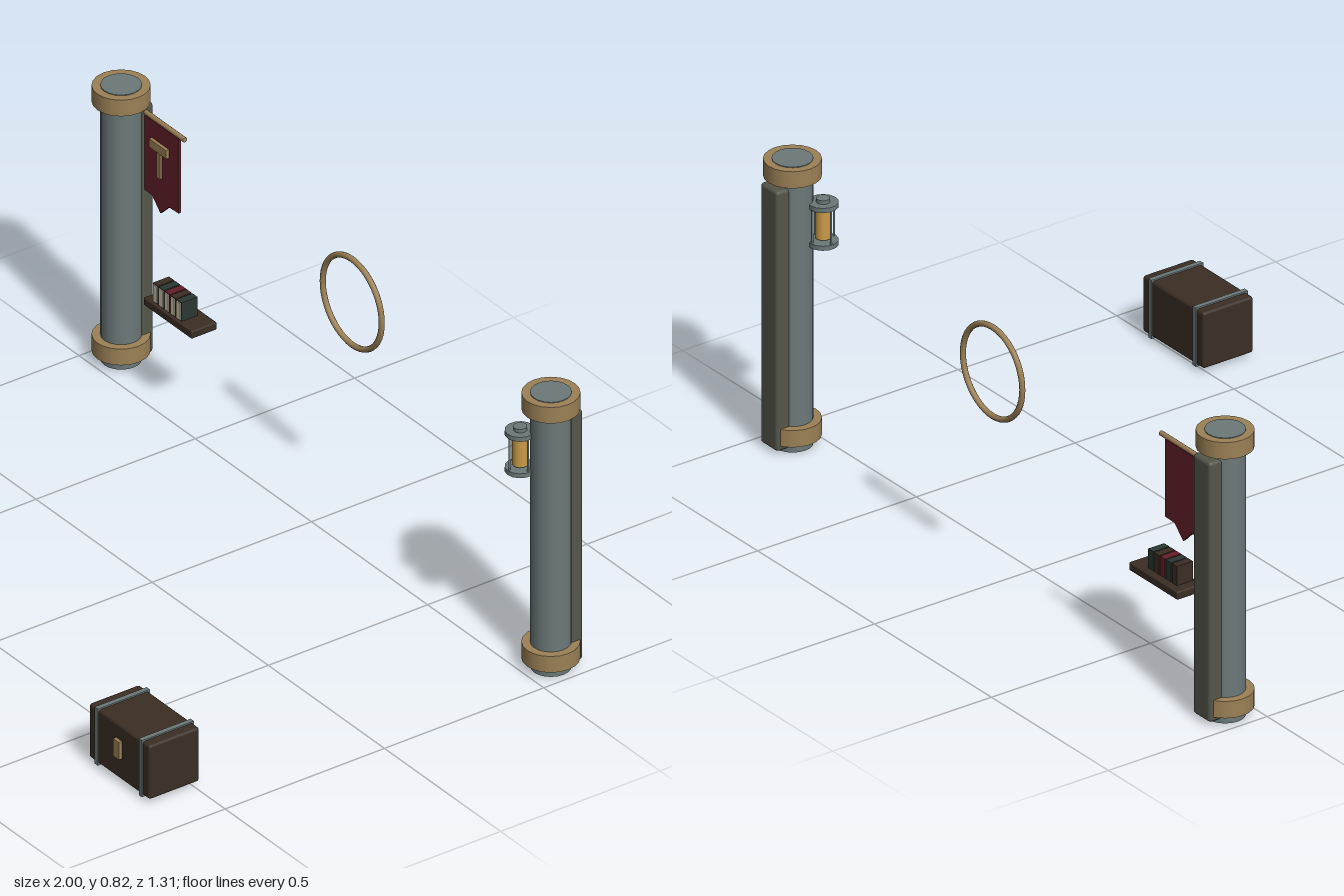
import * as THREE from 'three';
import { RoundedBoxGeometry } from 'three/addons/geometries/RoundedBoxGeometry.js';

const mat = (name, color, side = THREE.FrontSide) => {
  const m = new THREE.MeshStandardMaterial({ color, side });
  m.name = name;
  return m;
};

export function createModel() {
  const stone = mat('blue grey stone', 0x6c797a);
  const darkStone = mat('dark stone', 0x55564a);
  const brass = mat('brass', 0x9c8156);
  const wood = mat('dark wood', 0x3b2e24);
  const cloth = mat('red cloth', 0x642029);
  const paper = mat('paper', 0xd2c8ae);
  const glow = mat('amber glass', 0xcb9c48);
  const green = mat('dark green leather', 0x2b3833);

  const model = new THREE.Group();
  model.name = 'hallFurnishings';

  const group = (name, x = 0, y = 0, z = 0) => {
    const g = new THREE.Group();
    g.name = name;
    g.position.set(x, y, z);
    model.add(g);
    return g;
  };
  const add = (parent, name, geometry, material, x = 0, y = 0, z = 0) => {
    const m = new THREE.Mesh(geometry, material);
    m.name = name;
    m.position.set(x, y, z);
    parent.add(m);
    return m;
  };
  const box = (w, h, d) => new THREE.BoxGeometry(w, h, d);
  const cyl = (r, h, n = 20) => new THREE.CylinderGeometry(r, r, h, n);

  // Two columns, each with brass collars and a pilaster at the back
  for (const side of [-1, 1]) {
    const column = group(side < 0 ? 'rightColumn' : 'leftColumn', side * 0.925, 0, -0.577);
    add(column, 'shaft', cyl(0.053, 0.816), stone, 0, 0.408, 0);
    add(column, 'topCollar', cyl(0.075, 0.048), brass, 0, 0.79, 0);
    add(column, 'bottomCollar', cyl(0.075, 0.048), brass, 0, 0.05, 0);
    add(column, 'pilaster', new RoundedBoxGeometry(0.074, 0.743, 0.044, 2, 0.01), darkStone, 0, 0.382, -0.054);
  }

  // Pointed banner on a pole
  const banner = group('banner', -0.82, 0, -0.628);
  const pole = add(banner, 'bannerPole', cyl(0.007, 0.2, 10), brass, 0, 0.733, 0);
  pole.rotation.z = Math.PI / 2;
  const outline = new THREE.Shape([
    [-0.078, 0.726], [-0.078, 0.505], [-0.036, 0.503], [0, 0.467],
    [0.036, 0.503], [0.078, 0.505], [0.078, 0.726],
  ].map(([x, y]) => new THREE.Vector2(x, y)));
  add(banner, 'bannerCloth', new THREE.ExtrudeGeometry(outline, { depth: 0.008, bevelEnabled: false }), cloth, 0, 0, -0.004);
  // Hammer emblem
  add(banner, 'emblemHead', box(0.074, 0.025, 0.009), brass, 0, 0.662, 0.0085);
  add(banner, 'emblemHandle', box(0.014, 0.078, 0.007), brass, 0, 0.612, 0.0075);

  // Shelf with a row of books, page edges to the front
  const shelf = group('bookShelf', -0.653, 0, -0.564);
  add(shelf, 'shelfBoard', new RoundedBoxGeometry(0.208, 0.023, 0.08, 2, 0.004), wood, 0, 0.2735, 0);
  [wood, green, cloth, wood, green].forEach((cover, i) => {
    const x = -0.063 + i * 0.0252;
    add(shelf, 'book', box(0.022, 0.055, 0.05), cover, x, 0.3125, 0.006);
    add(shelf, 'pages', box(0.016, 0.05, 0.004), paper, x, 0.3125, 0.032);
  });

  // Hanging hoop
  add(model, 'hoop', new THREE.TorusGeometry(0.127, 0.008, 10, 48), brass, 0, 0.607, -0.628);

  // Lantern on the left column
  const lantern = group('lantern', 0.87, 0, -0.521);
  add(lantern, 'lanternGlass', cyl(0.021, 0.082, 14), glow, 0, 0.636, 0);
  add(lantern, 'lanternTop', cyl(0.04, 0.013, 14), stone, 0, 0.69, 0);
  add(lantern, 'lanternBase', cyl(0.04, 0.013, 14), stone, 0, 0.582, 0);
  add(lantern, 'lanternKnob', cyl(0.018, 0.012, 14), stone, 0, 0.701, 0);
  for (let i = 0; i < 4; i++) {
    const a = (i * Math.PI) / 2;
    add(lantern, 'lanternBar', cyl(0.003, 0.1, 6), stone, 0.034 * Math.cos(a), 0.636, 0.034 * Math.sin(a));
  }

  // Chest with two straps and a latch
  const chest = group('chest', 0.741, 0.094, 0.565);
  add(chest, 'chestBody', new RoundedBoxGeometry(0.262, 0.16, 0.158, 3, 0.008), wood);
  for (const side of [-1, 1]) {
    add(chest, 'chestStrap', box(0.014, 0.168, 0.163), stone, side * 0.095, 0, 0);
  }
  add(chest, 'chestLatch', box(0.025, 0.052, 0.012), brass, 0, 0.011, 0.083);

  return model;
}
